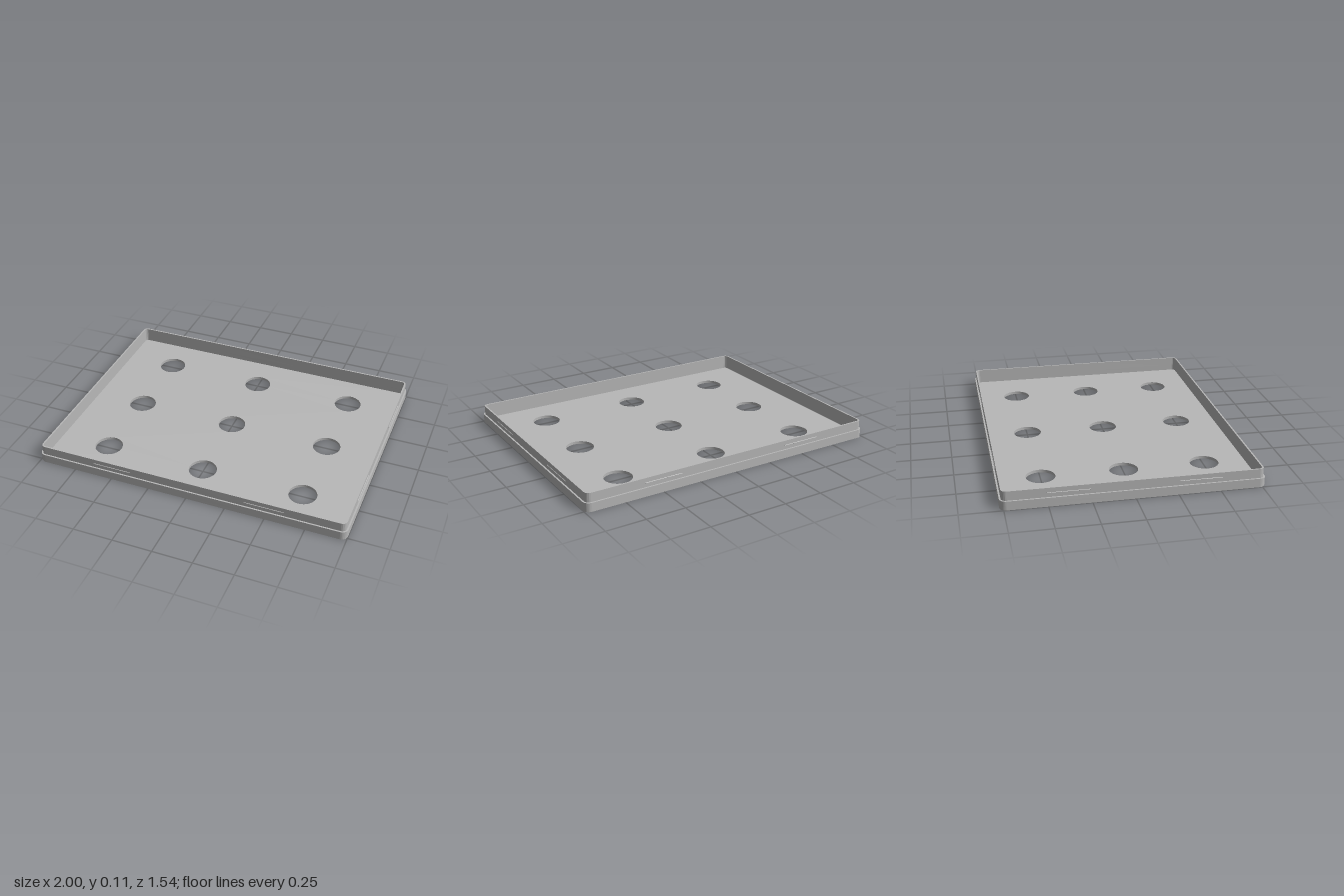
import * as THREE from 'three';
import { toCreasedNormals } from 'three/addons/utils/BufferGeometryUtils.js';

const HALF_X = 1, HALF_Z = 0.772, CORNER = 0.04;
const FLOOR_TOP = 0.018, STEP_Y = 0.055, RIM_Y = 0.112;
const STEP_INSET = 0.01, WALL_INSET = 0.02;

// Rounded rectangle, shrunk inward by an inset
function outline(inset, Type = THREE.Shape) {
  const x = HALF_X - inset, z = HALF_Z - inset, r = CORNER - inset;
  const s = new Type();
  s.absarc(x - r, z - r, r, 0, Math.PI / 2);
  s.absarc(-x + r, z - r, r, Math.PI / 2, Math.PI);
  s.absarc(-x + r, -z + r, r, Math.PI, Math.PI * 1.5);
  s.absarc(x - r, -z + r, r, Math.PI * 1.5, Math.PI * 2);
  s.closePath();
  return s;
}

// Stand a flat shape up between two heights
function slab(shape, y0, y1) {
  const geo = new THREE.ExtrudeGeometry(shape, { depth: y1 - y0, bevelEnabled: false, curveSegments: 24 });
  geo.rotateX(-Math.PI / 2);
  geo.translate(0, y0, 0);
  return toCreasedNormals(geo, Math.PI / 6);
}

export function createModel() {
  const model = new THREE.Group();
  model.name = 'tray';
  const grey = new THREE.MeshStandardMaterial({ color: 0xb8b8b8 });
  grey.name = 'grey';
  const add = (name, geo) => {
    const mesh = new THREE.Mesh(geo, grey);
    mesh.name = name;
    model.add(mesh);
    return mesh;
  };

  // Floor plate with a three by three grid of round holes
  const floor = outline(0);
  for (const x of [-0.652, 0, 0.652]) {
    for (const z of [-0.5, 0, 0.5]) {
      floor.holes.push(new THREE.Path().absarc(x, z, 0.088, 0, Math.PI * 2, true));
    }
  }
  add('floor', slab(floor, 0, FLOOR_TOP));

  // Thick lower wall and thinner upper lip
  const lower = outline(0);
  lower.holes.push(outline(WALL_INSET, THREE.Path));
  add('lowerWall', slab(lower, FLOOR_TOP, STEP_Y));
  const lip = outline(STEP_INSET);
  lip.holes.push(outline(WALL_INSET, THREE.Path));
  add('upperLip', slab(lip, STEP_Y, RIM_Y));

  // Slim snap ridges, two on each side of the lip
  const ridgeLength = 0.25, ridgeY = 0.082;
  const ridgeShape = new THREE.Shape([[-0.002, -0.003], [0.003, 0], [-0.002, 0.003]]
    .map(([x, y]) => new THREE.Vector2(x, y)));
  const ridgeGeo = new THREE.ExtrudeGeometry(ridgeShape, { depth: ridgeLength, bevelEnabled: false });
  ridgeGeo.translate(0, 0, -ridgeLength / 2);
  for (let side = 0; side < 4; side++) {
    const alongX = side % 2 === 1;
    const reach = (alongX ? HALF_Z : HALF_X) - STEP_INSET;
    const offset = alongX ? 0.495 : 0.383;
    for (const sign of [-1, 1]) {
      const ridge = add('snapRidge', ridgeGeo);
      const angle = side * Math.PI / 2;
      ridge.rotation.y = angle;
      ridge.position.set(reach, ridgeY, sign * offset).applyAxisAngle(new THREE.Vector3(0, 1, 0), angle);
    }
  }
  return model;
}
